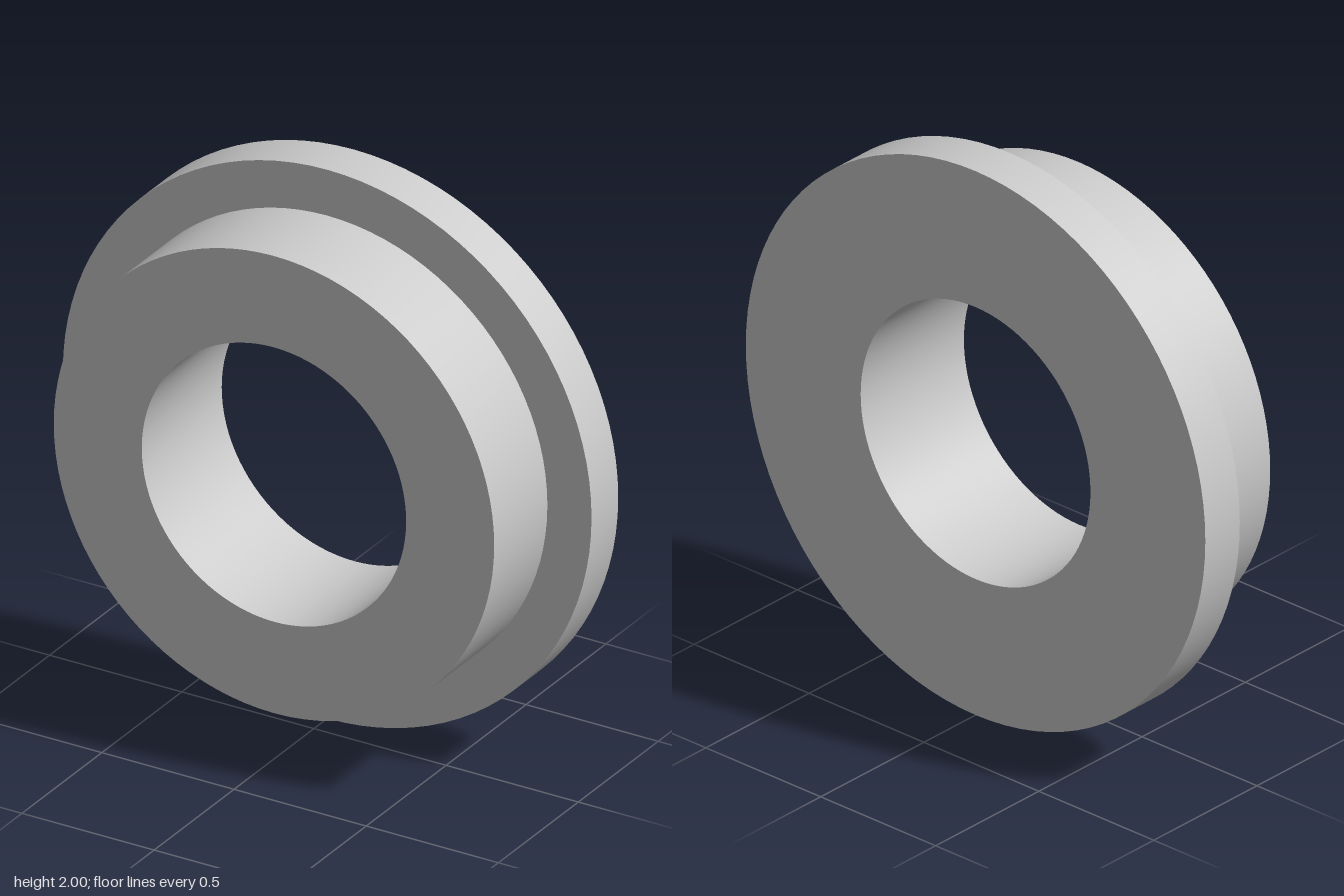
import * as THREE from 'three';
import { toCreasedNormals } from 'three/addons/utils/BufferGeometryUtils.js';

export function createModel() {
  const group = new THREE.Group();
  group.name = 'flangedBushing';

  const bore = 0.5, body = 0.833, flange = 1; // radii
  const back = -0.25, step = -0.083, front = 0.25; // positions along the axis

  // Closed wall section: back face, flange rim, shoulder, body, front face, bore
  const section = [
    [bore, back], [flange, back], [flange, step], [body, step],
    [body, front], [bore, front], [bore, back],
  ].map(([r, h]) => new THREE.Vector2(r, h));

  const geometry = toCreasedNormals(new THREE.LatheGeometry(section, 96), Math.PI / 6);
  geometry.rotateX(Math.PI / 2); // axis towards the front
  geometry.translate(0, flange, 0);

  const ring = new THREE.Mesh(geometry, new THREE.MeshStandardMaterial({ color: 0xcccccc }));
  ring.name = 'flangedRing';
  group.add(ring);
  return group;
}
